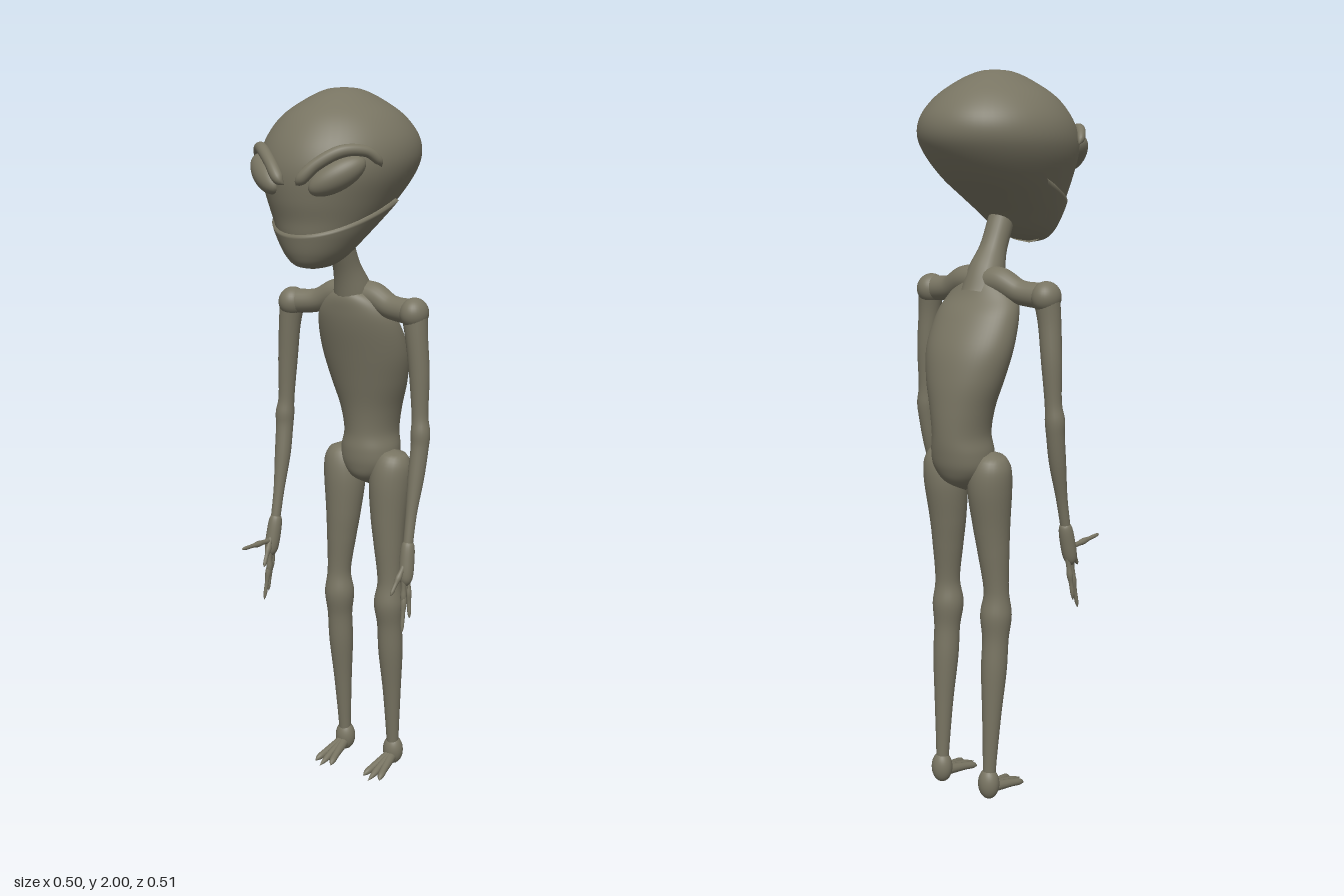
import * as THREE from 'three';
import { mergeVertices } from 'three/addons/utils/BufferGeometryUtils.js';
import { ParametricGeometry } from 'three/addons/geometries/ParametricGeometry.js';

const skin = new THREE.MeshStandardMaterial({ color: 0x787462, side: THREE.DoubleSide });
skin.name = 'greyOliveSkin';

// Weld seams and poles so the normals are smooth everywhere
function smooth(geo) {
  geo.deleteAttribute('uv');
  geo.deleteAttribute('normal');
  const welded = mergeVertices(geo, 1e-5);
  welded.computeVertexNormals();
  return welded;
}

function part(parent, name, geo) {
  const mesh = new THREE.Mesh(geo, skin);
  mesh.name = name;
  parent.add(mesh);
  return mesh;
}

const spline = (pts) => new THREE.CatmullRomCurve3(pts, false, 'catmullrom', 0.5);

// Tapered tube through points [x, y, z, radius]
function limb(parent, name, pts, segs = 48, sides = 20) {
  const path = spline(pts.map((p) => new THREE.Vector3(p[0], p[1], p[2])));
  const radii = spline(pts.map((p) => new THREE.Vector3(p[3], 0, 0)));
  const geo = new THREE.TubeGeometry(path, segs, 1, sides);
  const pos = geo.attributes.position;
  const v = new THREE.Vector3();
  for (let i = 0; i <= segs; i++) {
    const c = path.getPointAt(i / segs);
    const r = Math.max(0, radii.getPoint(path.getUtoTmapping(i / segs)).x);
    for (let j = 0; j <= sides; j++) {
      const k = i * (sides + 1) + j;
      v.fromBufferAttribute(pos, k).sub(c).multiplyScalar(r).add(c);
      pos.setXYZ(k, v.x, v.y, v.z);
    }
  }
  return part(parent, name, smooth(geo));
}

function ball(parent, name, [x, y, z], [sx, sy, sz]) {
  const mesh = part(parent, name, new THREE.SphereGeometry(1, 32, 20));
  mesh.position.set(x, y, z);
  mesh.scale.set(sx, sy, sz);
  return mesh;
}

// Surface through horizontal ellipses [y, half width, front z, back z], top first
function ellipseSurface(rows) {
  const a = spline(rows.map((r) => new THREE.Vector3(r[1], r[0], 0)));
  const b = spline(rows.map((r) => new THREE.Vector3(r[2], r[3], 0)));
  return (angle, t, out) => {
    const p = a.getPoint(t), q = b.getPoint(t);
    return out.set(
      Math.max(0, p.x) * Math.sin(angle),
      p.y,
      (q.x + q.y) / 2 + ((q.x - q.y) / 2) * Math.cos(angle)
    );
  };
}

const loft = (surface) => smooth(new ParametricGeometry(
  (u, v, out) => surface(-u * Math.PI * 2, v, out), 56, 64));

const headRows = [
  [2.0, 0, -0.02, -0.02], [1.994, 0.045, 0.035, -0.07], [1.97, 0.095, 0.095, -0.13],
  [1.93, 0.153, 0.157, -0.19], [1.88, 0.191, 0.2, -0.232], [1.83, 0.204, 0.225, -0.24],
  [1.78, 0.195, 0.234, -0.215], [1.72, 0.166, 0.228, -0.16], [1.67, 0.138, 0.216, -0.09],
  [1.63, 0.113, 0.21, -0.035], [1.585, 0.08, 0.198, 0.02], [1.557, 0.045, 0.178, 0.07],
  [1.546, 0, 0.13, 0.13],
];

const torsoRows = [
  [1.475, 0.02, -0.03, -0.1], [1.45, 0.07, -0.012, -0.118], [1.41, 0.108, -0.012, -0.14],
  [1.36, 0.127, -0.02, -0.18], [1.28, 0.131, -0.04, -0.224], [1.2, 0.115, -0.06, -0.245],
  [1.12, 0.09, -0.078, -0.253], [1.05, 0.078, -0.085, -0.254], [1.0, 0.086, -0.08, -0.25],
  [0.955, 0.083, -0.083, -0.24], [0.915, 0.052, -0.1, -0.215], [0.885, 0, -0.155, -0.155],
];

function buildHead(parent) {
  const head = new THREE.Group();
  head.name = 'head';
  parent.add(head);
  const surface = ellipseSurface(headRows);
  part(head, 'skull', loft(surface));

  // Jaw: a shell just proud of the skull, below a slanting mouth line
  const jaw = new ParametricGeometry((u, v, out) => {
    const angle = (0.5 - u) * 3.6;
    let lo = 0.45, hi = 1;
    for (let i = 0; i < 24; i++) {
      const mid = (lo + hi) / 2;
      surface(angle, mid, out);
      if (out.y > 1.637 + (0.21 - out.z) * 0.38) lo = mid; else hi = mid;
    }
    surface(angle, lo + (1 - lo) * Math.max(0, (v - 0.04) / 0.96), out);
    if (v > 0) { // the first row stays on the skull and forms the lip edge
      out.x *= 1.05;
      out.z = 0.1 + (out.z - 0.1) * 1.05;
      out.y -= 0.005;
    }
  }, 48, 25);
  part(head, 'jaw', smooth(jaw));

  for (const s of [1, -1]) {
    const side = s > 0 ? 'left' : 'right';
    const eye = ball(head, side + 'Eye', [s * 0.108, 1.785, 0.185], [0.08, 0.037, 0.036]);
    eye.rotation.set(0, s * 0.62, s * 0.5, 'YXZ');
    limb(head, side + 'Brow', [
      [s * 0.186, 1.805, 0.1, 0], [s * 0.184, 1.822, 0.112, 0.011], [s * 0.163, 1.845, 0.14, 0.014],
      [s * 0.12, 1.845, 0.184, 0.016], [s * 0.07, 1.814, 0.22, 0.016],
      [s * 0.035, 1.777, 0.238, 0.015], [s * 0.018, 1.762, 0.236, 0],
    ]);
  }
}

function buildArm(parent, s) {
  const arm = new THREE.Group();
  arm.name = s > 0 ? 'leftArm' : 'rightArm';
  parent.add(arm);
  limb(arm, 'collar', [
    [0, 1.45, -0.075, 0.04], [s * 0.06, 1.45, -0.075, 0.038],
    [s * 0.12, 1.425, -0.068, 0.033], [s * 0.19, 1.418, -0.058, 0.035],
  ]);
  ball(arm, 'shoulder', [s * 0.197, 1.416, -0.058], [0.039, 0.042, 0.044]);
  limb(arm, 'armLength', [
    [s * 0.198, 1.42, -0.058, 0.036], [s * 0.207, 1.35, -0.056, 0.031],
    [s * 0.216, 1.25, -0.058, 0.028], [s * 0.221, 1.14, -0.056, 0.023],
    [s * 0.225, 1.09, -0.053, 0.027], [s * 0.225, 1.05, -0.05, 0.025],
    [s * 0.223, 0.97, -0.036, 0.023], [s * 0.222, 0.87, -0.014, 0.016],
    [s * 0.223, 0.79, 0.003, 0.014],
  ], 80);
  limb(arm, 'palm', [
    [s * 0.223, 0.8, 0, 0], [s * 0.223, 0.785, 0.003, 0.017], [s * 0.225, 0.74, 0.012, 0.021],
    [s * 0.228, 0.69, 0.022, 0.018], [s * 0.229, 0.665, 0.026, 0],
  ]);

  // Knuckled fingers [base y, base z, tip x, tip y, tip z]
  const fingers = [
    [0.71, 0.008, 0.24, 0.575, 0.02], [0.7, 0.02, 0.234, 0.54, 0.052],
    [0.71, 0.03, 0.229, 0.565, 0.036], [0.74, 0.02, 0.213, 0.655, 0.08],
  ];
  // Only the right hand points one finger straight ahead
  if (s < 0) fingers.push([0.72, 0.015, 0.232, 0.73, 0.16]);
  for (const [by, bz, x, y, z] of fingers) {
    const at = (k, r) => [s * (0.226 + (x - 0.226) * k), by + (y - by) * k, bz + (z - bz) * k, r];
    limb(arm, 'finger', [at(0, 0.009), at(0.3, 0.007), at(0.48, 0.009), at(0.65, 0.006),
      at(0.9, 0.005), at(1, 0)], 24, 10);
  }
}

function buildLeg(parent, s) {
  const leg = new THREE.Group();
  leg.name = s > 0 ? 'leftLeg' : 'rightLeg';
  parent.add(leg);
  limb(leg, 'legLength', [
    [s * 0.09, 1.002, -0.15, 0], [s * 0.089, 0.993, -0.15, 0.034], [s * 0.084, 0.96, -0.148, 0.055],
    [s * 0.077, 0.9, -0.145, 0.061], [s * 0.077, 0.8, -0.138, 0.052], [s * 0.081, 0.72, -0.134, 0.044],
    [s * 0.087, 0.61, -0.13, 0.035], [s * 0.086, 0.54, -0.13, 0.044], [s * 0.087, 0.47, -0.134, 0.037],
    [s * 0.087, 0.38, -0.141, 0.036], [s * 0.087, 0.25, -0.151, 0.027], [s * 0.086, 0.1, -0.16, 0.019],
    [s * 0.086, 0.04, -0.163, 0.018],
  ], 110, 24);
  ball(leg, 'heel', [s * 0.086, 0.047, -0.164], [0.031, 0.045, 0.029]);
  for (const d of [-1, 0, 1]) {
    const reach = d ? -0.035 : -0.015;
    limb(leg, 'toe', [
      [s * 0.086, 0.035, -0.165, 0.018], [s * (0.086 + d * 0.01), 0.028, -0.12, 0.014],
      [s * (0.086 + d * 0.018), 0.021, -0.08, 0.011], [s * (0.086 + d * 0.024), 0.014, -0.05, 0.009],
      [s * (0.086 + d * 0.028), 0.007, reach, 0],
    ], 24, 12);
  }
}

export function createModel() {
  const model = new THREE.Group();
  model.name = 'slenderHumanoid';
  buildHead(model);
  limb(model, 'neck', [
    [0, 1.67, 0.03, 0.036], [0, 1.59, -0.004, 0.036], [0, 1.53, -0.032, 0.038],
    [0, 1.47, -0.06, 0.052], [0, 1.41, -0.08, 0.06],
  ]);
  part(model, 'torso', loft(ellipseSurface(torsoRows)));
  for (const s of [1, -1]) {
    buildArm(model, s);
    buildLeg(model, s);
  }
  return model;
}
